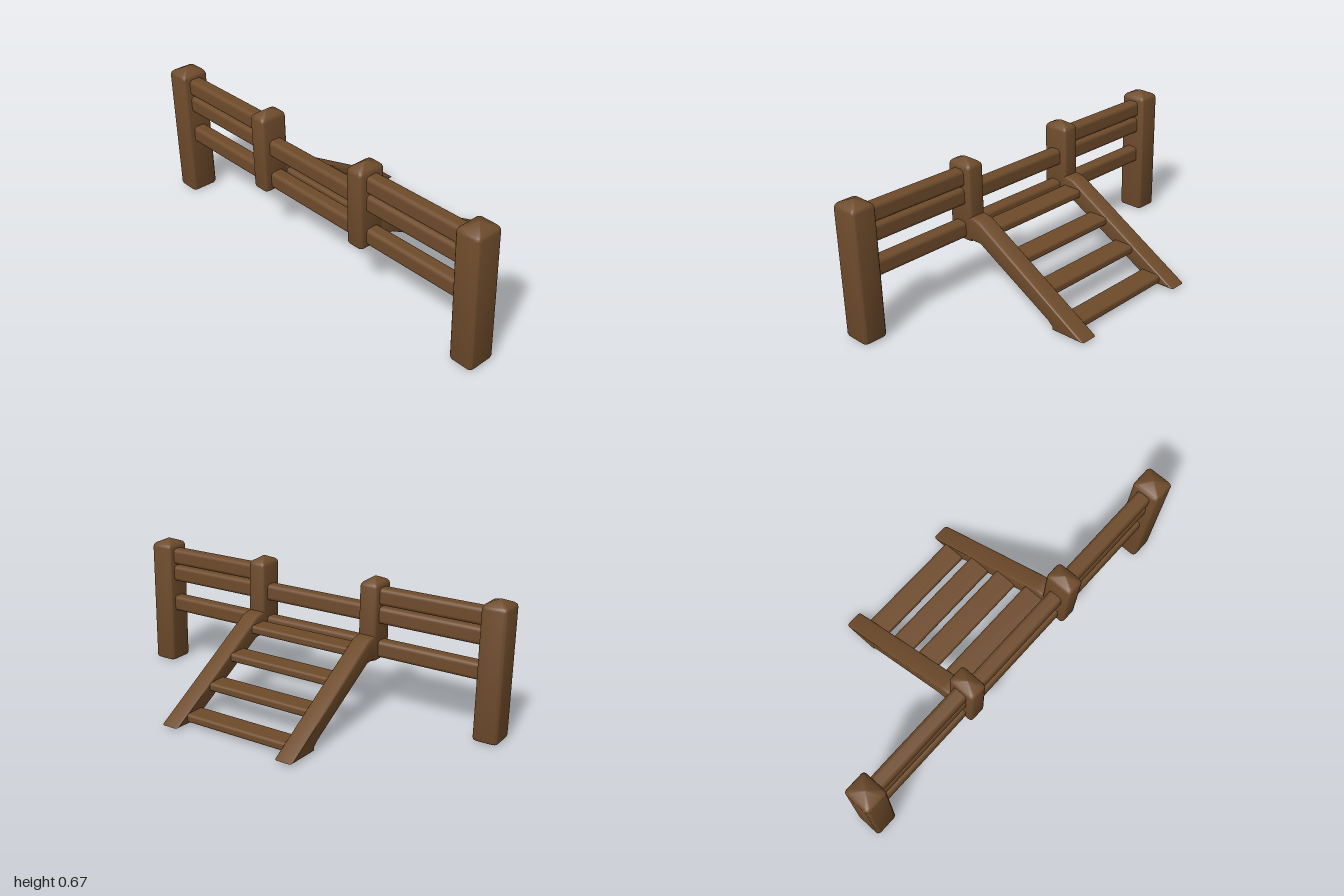
import * as THREE from 'three';
import { toCreasedNormals } from 'three/addons/utils/BufferGeometryUtils.js';
import { RoundedBoxGeometry } from 'three/addons/geometries/RoundedBoxGeometry.js';

const FENCE_X = -0.352;

// Rounded rectangle outline in x and z, shrunk by inset
function outline(w, d, r, inset, y) {
  const pts = [];
  const hx = w / 2 - inset, hz = d / 2 - inset;
  const rad = Math.min(r, hx, hz);
  const corners = [[1, 1], [-1, 1], [-1, -1], [1, -1]];
  corners.forEach(([sx, sz], c) => {
    for (let k = 0; k < 4; k++) {
      const a = (c + k / 3) * Math.PI / 2;
      pts.push([sx * (hx - rad) + Math.cos(a) * rad, y, sz * (hz - rad) + Math.sin(a) * rad]);
    }
  });
  return pts;
}

// Post lofted from rounded outlines, closed by a low peak on top
function postGeometry(w, d, bottom, eave, peak) {
  const rings = [
    outline(w, d, 0.016, 0.012, bottom),
    outline(w, d, 0.016, 0.003, bottom + 0.005),
    outline(w, d, 0.016, 0, bottom + 0.015),
    outline(w, d, 0.016, 0, eave - 0.015),
    outline(w, d, 0.016, 0.003, eave - 0.004),
    outline(w, d, 0.016, 0.01, eave + 0.004),
  ];
  const n = rings[0].length;
  const pos = [...rings.flat(2), 0, bottom - 0.002, 0, 0, peak, 0];
  const base = rings.length * n, apex = base + 1, last = base - n;
  const index = [];
  for (let i = 0; i < n; i++) {
    const j = (i + 1) % n;
    for (let l = 0; l < rings.length - 1; l++) {
      const a = l * n + i, b = l * n + j;
      index.push(a, a + n, b, b, a + n, b + n);
    }
    index.push(base, i, j, apex, last + j, last + i);
  }
  const g = new THREE.BufferGeometry();
  g.setAttribute('position', new THREE.Float32BufferAttribute(pos, 3));
  g.setIndex(index);
  return toCreasedNormals(g, 0.6);
}

// Sloping side beam with a level head and a foot cut flat to the ground
function stringerGeometry() {
  const bevel = 0.012;
  const shape = new THREE.Shape([
    [-0.32, 0.292], [-0.227, 0.292], [0.2, 0.056], [0.228, 0.03], [0.228, 0.019],
    [0.385, 0.019], [-0.236, 0.378], [-0.275, 0.386], [-0.32, 0.386],
  ].map(([x, y]) => new THREE.Vector2(x, y)));
  const g = new THREE.ExtrudeGeometry(shape, {
    depth: 0.09 - 2 * bevel, bevelEnabled: true, bevelSize: bevel,
    bevelThickness: bevel, bevelSegments: 3,
  });
  g.translate(0, 0, -0.045 + bevel);
  return toCreasedNormals(g, 0.6);
}

export function createModel() {
  const model = new THREE.Group();
  model.name = 'fenceWithSteps';
  const wood = new THREE.MeshStandardMaterial({ color: 0x6e4b2b });
  wood.name = 'brown wood';

  const add = (name, geometry, x, y, z) => {
    const mesh = new THREE.Mesh(geometry, wood);
    mesh.name = name;
    mesh.position.set(x, y, z);
    model.add(mesh);
  };

  const endPost = postGeometry(0.137, 0.12, 0.006, 0.645, 0.672);
  const innerPost = postGeometry(0.137, 0.092, 0.27, 0.645, 0.672);
  const stringer = stringerGeometry();
  const sideRail = new RoundedBoxGeometry(0.07, 0.083, 0.57, 3, 0.02);

  // Posts, side rails and stringers on both sides
  for (const [side, s] of [['front', 1], ['back', -1]]) {
    add(side + 'EndPost', endPost, FENCE_X, 0, s * 0.94);
    add(side + 'InnerPost', innerPost, FENCE_X, 0, s * 0.319);
    add(side + 'Stringer', stringer, 0, 0, s * 0.319);
    [0.325, 0.491, 0.582].forEach((y, i) =>
      add(side + 'Rail' + (i + 1), sideRail, FENCE_X, y, s * 0.625));
  }

  // Rails between the inner posts
  const middleRail = new RoundedBoxGeometry(0.07, 0.083, 0.6, 3, 0.02);
  [0.325, 0.491].forEach((y, i) => add('middleRail' + (i + 1), middleRail, FENCE_X, y, 0));

  // Level treads
  const tread = new RoundedBoxGeometry(0.111, 0.042, 0.6, 3, 0.014);
  [[-0.24, 0.332], [-0.068, 0.238], [0.097, 0.14], [0.268, 0.04]].forEach(([x, y], i) =>
    add('tread' + (i + 1), tread, x, y, 0));

  return model;
}
